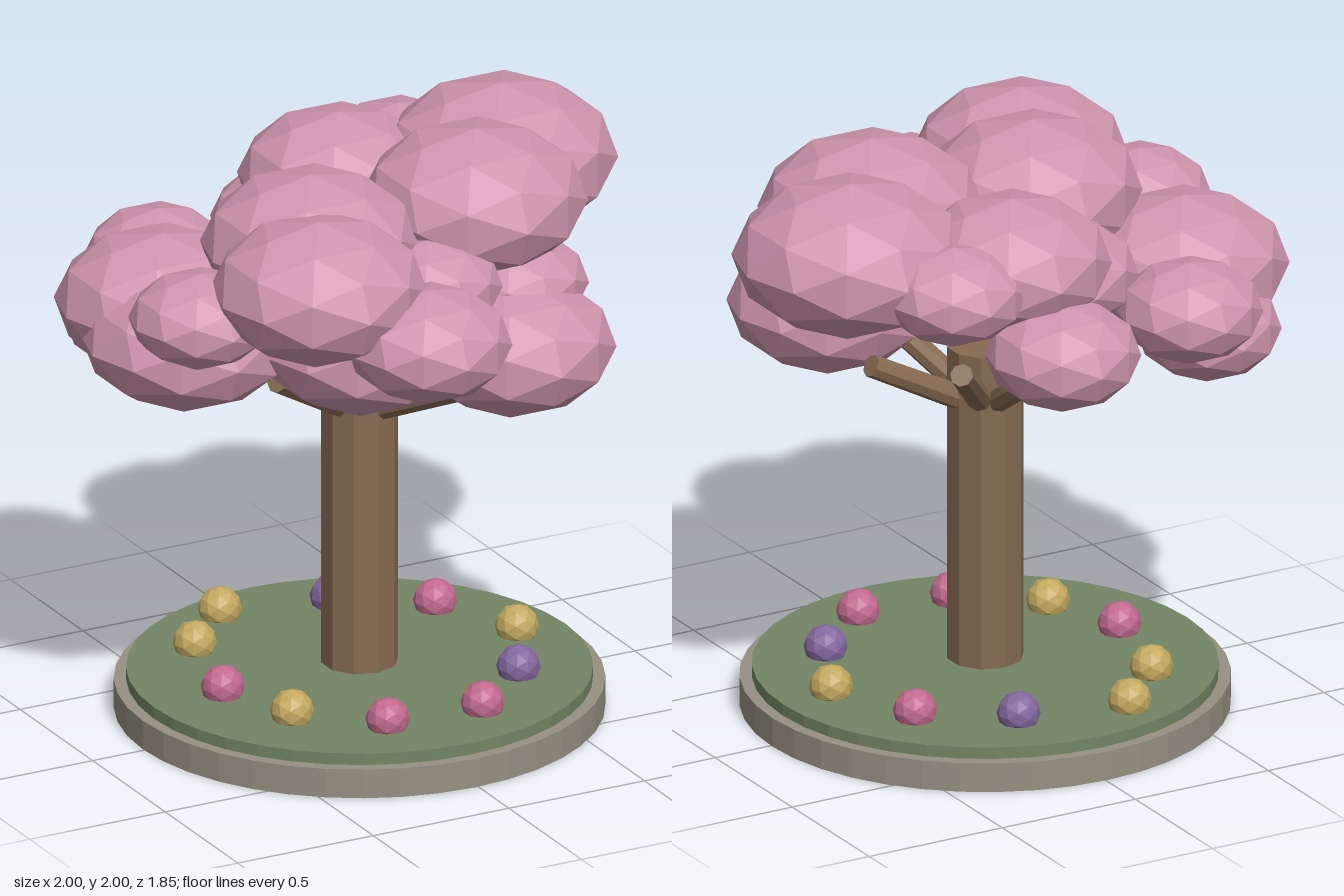
import * as THREE from 'three';

const mat = (name, color) => {
  const m = new THREE.MeshStandardMaterial({ color, flatShading: true });
  m.name = name;
  return m;
};

export function createModel() {
  const group = new THREE.Group();
  const blossom = mat('blossomPink', 0xcf95ae);
  const bark = mat('barkBrown', 0x876b51);
  const stone = mat('stoneGrey', 0x969082);
  const grass = mat('grassGreen', 0x728664);
  const flowerColours = {
    pink: mat('flowerPink', 0xc36a90),
    yellow: mat('flowerYellow', 0xc4aa60),
    purple: mat('flowerPurple', 0x8468a0),
  };
  const C = -0.01; // shared axis of base and trunk

  const add = (name, geometry, material, x, y, z, parent = group) => {
    const mesh = new THREE.Mesh(geometry, material);
    mesh.name = name;
    mesh.position.set(x, y, z);
    parent.add(mesh);
    return mesh;
  };

  // Round stone base with a grass disc
  add('stoneBase', new THREE.CylinderGeometry(0.8, 0.8, 0.1, 40), stone, C, 0.05, C);
  add('grassDisc', new THREE.CylinderGeometry(0.76, 0.76, 0.04, 40), grass, C, 0.12, C);

  // Trunk
  add('trunk', new THREE.CylinderGeometry(0.127, 0.127, 1.09, 10), bark, C, 0.705, C);

  // Branches fan out from the top of the trunk
  const branches = new THREE.Group();
  branches.name = 'branches';
  group.add(branches);
  const root = new THREE.Vector3(C, 1.03, C);
  const up = new THREE.Vector3(0, 1, 0);
  [
    [0.42, 1.26, -0.01], [0.14, 1.25, 0.45], [-0.4, 1.27, 0.15],
    [-0.38, 1.3, -0.25], [0.04, 1.33, -0.5], [0.27, 1.31, -0.34],
  ].forEach((tip) => {
    const dir = new THREE.Vector3(...tip).sub(root);
    const mid = root.clone().addScaledVector(dir, 0.5);
    const branch = add('branch', new THREE.CylinderGeometry(0.038, 0.042, dir.length(), 8),
      bark, mid.x, mid.y, mid.z, branches);
    branch.quaternion.setFromUnitVectors(up, dir.normalize());
  });

  // Canopy of flattened clusters: x, y, z, radius, half height
  const canopy = new THREE.Group();
  canopy.name = 'canopy';
  group.add(canopy);
  const ball = new THREE.IcosahedronGeometry(1, 1);
  [
    [0.61, 1.75, -0.2, 0.385, 0.25],
    [0.35, 1.76, 0.11, 0.37, 0.24],
    [-0.25, 1.71, 0.1, 0.36, 0.24],
    [-0.39, 1.69, 0.42, 0.355, 0.235],
    [0.12, 1.7, -0.4, 0.33, 0.22],
    [0.41, 1.69, -0.53, 0.24, 0.16],
    [0.08, 1.46, -0.67, 0.255, 0.175],
    [-0.46, 1.47, -0.56, 0.24, 0.165],
    [-0.64, 1.48, -0.2, 0.35, 0.23],
    [-0.71, 1.57, 0.2, 0.235, 0.155],
    [-0.65, 1.42, 0.0, 0.35, 0.22],
    [-0.61, 1.33, -0.42, 0.24, 0.165],
    [-0.11, 1.53, 0.65, 0.275, 0.185],
    [0.35, 1.34, 0.38, 0.335, 0.22],
    [-0.15, 1.42, 0.28, 0.36, 0.23],
    [0.42, 1.5, 0.24, 0.25, 0.16],
    [0.07, 1.58, 0.32, 0.24, 0.16],
    [-0.12, 1.57, -0.28, 0.27, 0.18],
  ].forEach(([x, y, z, r, h]) => {
    add('blossomCluster', ball, blossom, x, y, z, canopy).scale.set(r, h, r);
  });

  // Ring of small flowers on the grass
  const flowers = new THREE.Group();
  flowers.name = 'flowers';
  group.add(flowers);
  const bud = new THREE.IcosahedronGeometry(0.072, 1);
  [
    ['yellow', 0.57, -0.01], ['purple', 0.41, 0.3], ['pink', 0.16, 0.52], ['pink', -0.18, 0.5],
    ['yellow', -0.42, 0.29], ['pink', -0.52, 0], ['yellow', -0.42, -0.38], ['yellow', -0.21, -0.6],
    ['purple', 0.16, -0.52], ['pink', 0.44, -0.33],
  ].forEach(([colour, x, z]) => add(colour + 'Flower', bud, flowerColours[colour], x, 0.17, z, flowers));

  return group;
}
